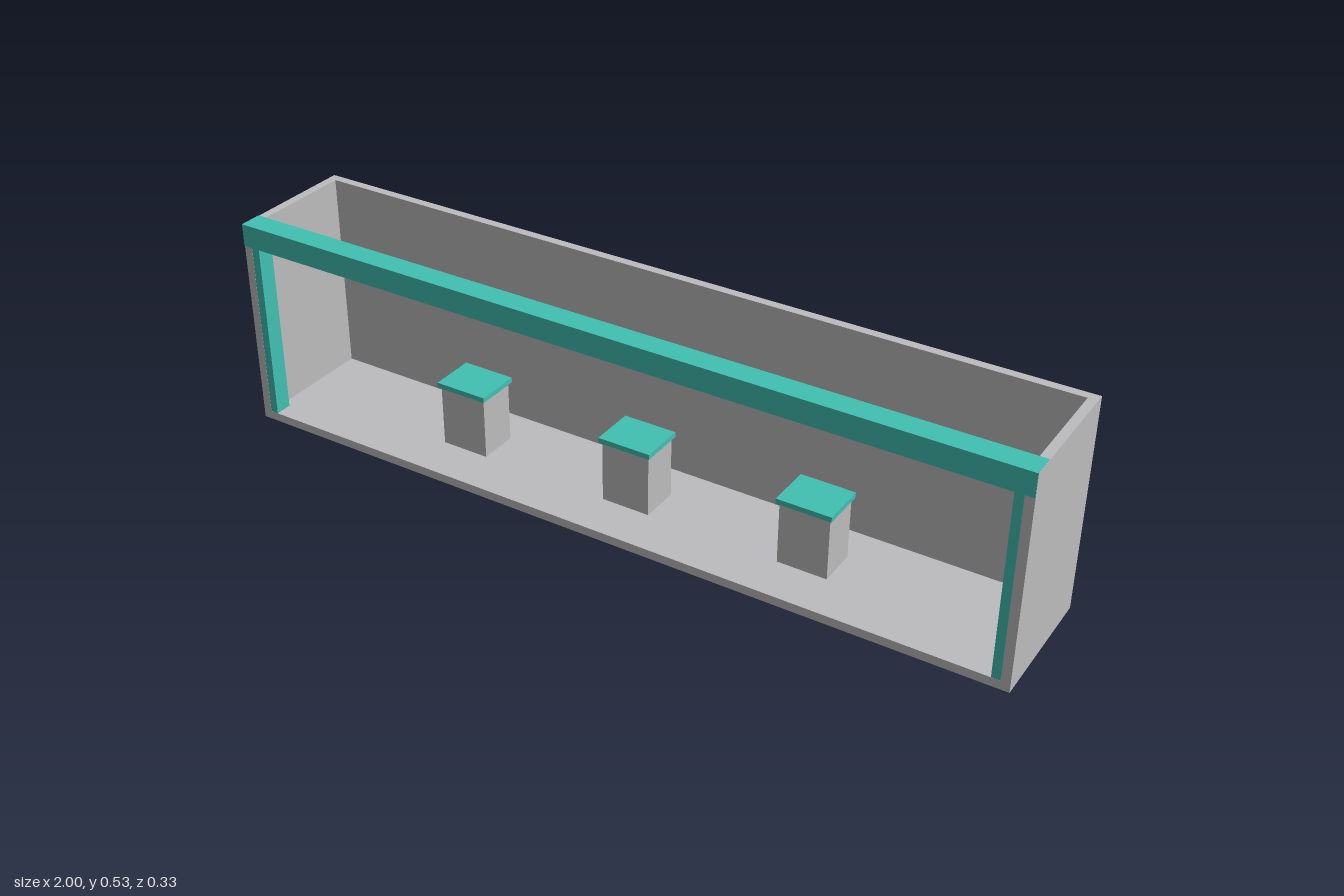
import * as THREE from 'three';

export function createModel() {
  const model = new THREE.Group();
  model.name = 'displayCase';
  const grey = new THREE.MeshStandardMaterial({ name: 'grey', color: 0xbcbcbe });
  const teal = new THREE.MeshStandardMaterial({ name: 'teal', color: 0x41c1b3 });

  // Box given by its min and max extents on each axis
  const box = (name, material, [x0, x1], [y0, y1], [z0, z1], parent = model) => {
    const mesh = new THREE.Mesh(new THREE.BoxGeometry(x1 - x0, y1 - y0, z1 - z0), material);
    mesh.position.set((x0 + x1) / 2, (y0 + y1) / 2, (z0 + z1) / 2);
    mesh.name = name;
    parent.add(mesh);
  };

  const H = 0.533, D = 0.167, T = 0.022;

  // Open-topped, open-fronted shell
  box('floor', grey, [-1, 1], [0, T], [-D, D]);
  box('backWall', grey, [-1 + T, 1 - T], [T, H], [-D, -D + T]);
  box('leftWall', grey, [1 - T, 1], [T, H], [-D, D]);
  box('rightWall', grey, [-1, -1 + T], [T, H], [-D, D]);

  // Front frame, set a hair off the shell so no faces coincide
  box('topBeam', teal, [-1.0005, 0.9995], [0.477, H + 0.001], [0.11, D + 0.001]);
  box('leftPost', teal, [0.957, 0.9995], [0.001, 0.478], [0.123, D - 0.0005]);
  box('rightPost', teal, [-1.0005, -0.957], [0.001, 0.478], [0.123, D - 0.0005]);

  // Three pedestals with overhanging caps
  for (const x of [-0.46, 0, 0.46]) {
    const pedestal = new THREE.Group();
    pedestal.name = 'pedestal';
    pedestal.position.x = x;
    box('pedestalBody', grey, [-0.062, 0.062], [T, 0.179], [-0.05, 0.05], pedestal);
    box('pedestalCap', teal, [-0.068, 0.068], [0.179, 0.192], [-0.057, 0.057], pedestal);
    model.add(pedestal);
  }
  return model;
}
